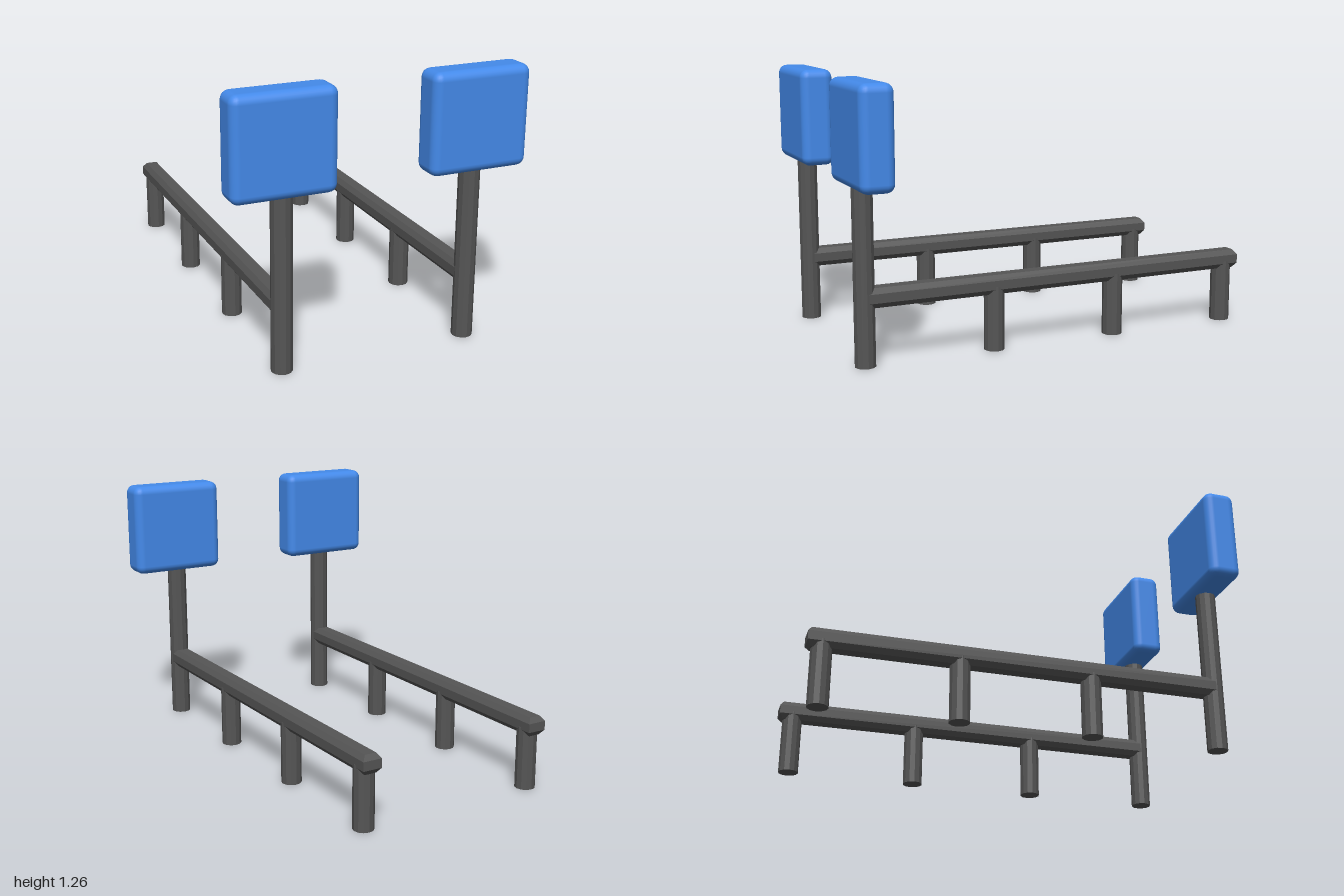
import * as THREE from 'three';
import { RoundedBoxGeometry } from 'three/addons/geometries/RoundedBoxGeometry.js';

const metal = new THREE.MeshStandardMaterial({ color: 0x555555, flatShading: true });
const blue = new THREE.MeshStandardMaterial({ color: 0x448aea });

function add(parent, name, geometry, material, x, y, z) {
  const mesh = new THREE.Mesh(geometry, material);
  mesh.name = name;
  mesh.position.set(x, y, z);
  parent.add(mesh);
}

// Beam whose top and bottom edges are chamfered all round
function chamferedBeam(width, height, length, inset, band) {
  const geometry = new THREE.BoxGeometry(width, height, length, 1, 3, 1);
  const p = geometry.attributes.position;
  for (let i = 0; i < p.count; i++) {
    const y = p.getY(i);
    if (Math.abs(y) > height * 0.4) {
      p.setX(i, p.getX(i) - Math.sign(p.getX(i)) * inset);
      p.setZ(i, p.getZ(i) - Math.sign(p.getZ(i)) * inset);
    } else {
      p.setY(i, Math.sign(y) * band / 2);
    }
  }
  geometry.computeVertexNormals();
  return geometry;
}

function post(height) {
  return new THREE.CylinderGeometry(0.048, 0.048, height, 12);
}

export function createModel() {
  const model = new THREE.Group();
  model.name = 'barrierPair';

  for (const [name, postX, panelX] of [['right', -0.449, -0.4545], ['left', 0.4425, 0.4525]]) {
    const barrier = new THREE.Group();
    barrier.name = name + 'Barrier';

    // Sign panel on a tall front post
    add(barrier, 'signPanel', new RoundedBoxGeometry(0.473, 0.46, 0.155, 3, 0.04), blue, panelX, 1.03, 0.9225);
    add(barrier, 'signPost', post(0.83), metal, postX, 0.415, 0.924);

    // Rail running backwards on short legs
    add(barrier, 'rail', chamferedBeam(0.092, 0.09, 1.92, 0.018, 0.042), metal, postX - 0.001, 0.31, -0.04);
    for (const z of [0.305, -0.314, -0.933]) {
      add(barrier, 'railLeg', post(0.3), metal, postX, 0.15, z);
    }
    model.add(barrier);
  }
  return model;
}
